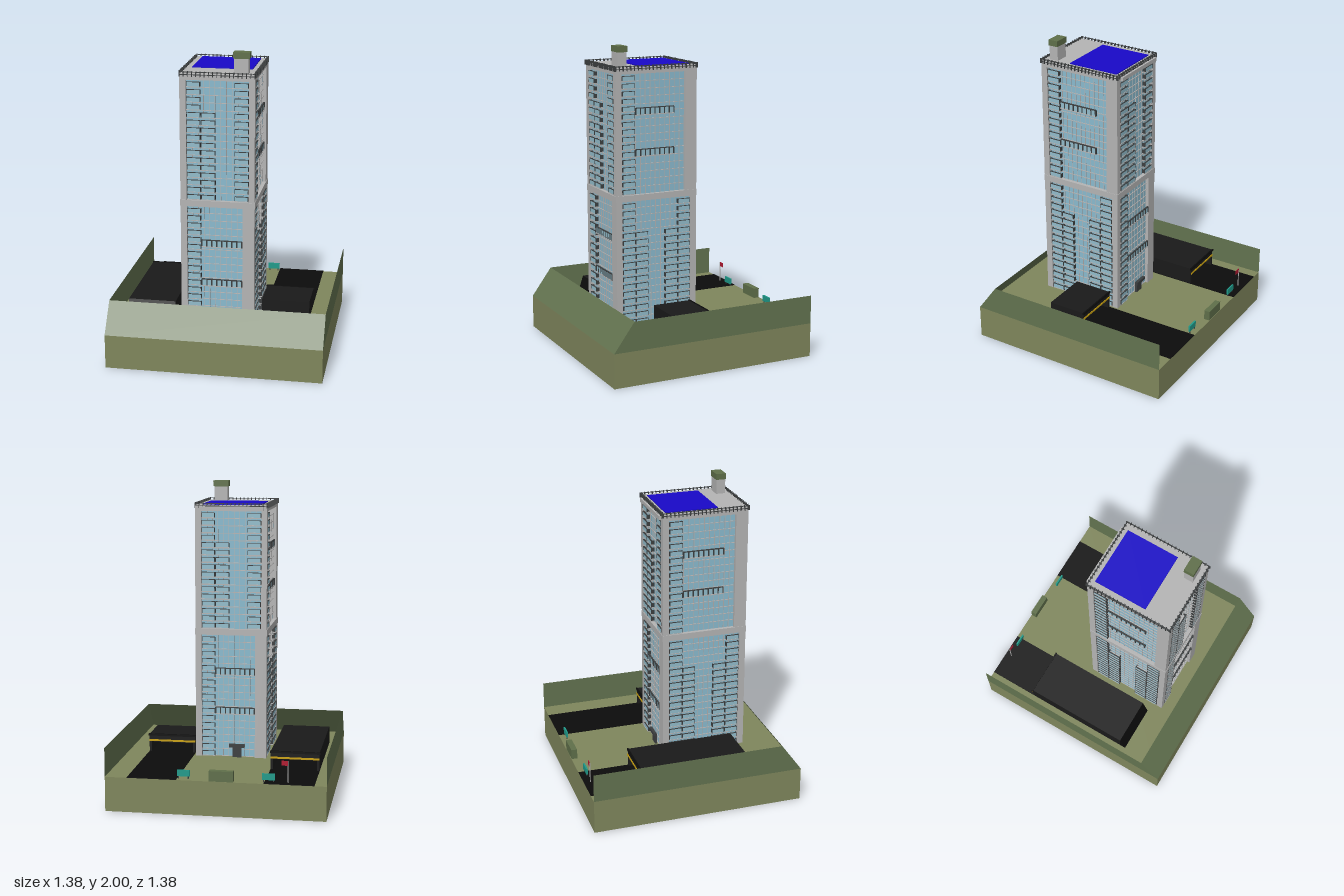
import * as THREE from 'three';
import { mergeGeometries } from 'three/addons/utils/BufferGeometryUtils.js';

const mat = (color, side = THREE.FrontSide) =>
  new THREE.MeshStandardMaterial({ color, side, flatShading: true });
const M = {
  olive: mat(0x7f865c), wall: mat(0x637350, THREE.DoubleSide), green: mat(0x5f6f4a),
  grey: mat(0xb4b4b4), glass: mat(0x8abace), pane: mat(0x92bccb), dark: mat(0x3c3f40),
  road: mat(0x0c0c0c), shed: mat(0x1a1a1a), yellow: mat(0xc8a010), blue: mat(0x1808c8),
  teal: mat(0x1f9a8a), red: mat(0xb01830),
};

// Box geometry from its minimum and maximum corners
function span(x0, x1, y0, y1, z0, z1) {
  return new THREE.BoxGeometry(x1 - x0, y1 - y0, z1 - z0)
    .translate((x0 + x1) / 2, (y0 + y1) / 2, (z0 + z1) / 2);
}

function add(parent, name, geometries, material) {
  const list = [].concat(geometries);
  const mesh = new THREE.Mesh(list.length > 1 ? mergeGeometries(list) : list[0], material);
  mesh.name = name;
  parent.add(mesh);
  return mesh;
}

const GROUND = 0.22, LEDGE = 1.03, UPPER = 1.07, TOP = 1.83, ROOF = 1.86;
const CX = -0.0075, CZ = 0.18, HX = 0.2325, HZ = 0.28, DEPTH = 0.022;
const PITCH = 0.0475;

// One face of the tower: u runs to the right seen from outside, z = 0 is the frame face
function facade(name, half, spec) {
  const g = new THREE.Group();
  g.name = name;
  const frame = [], mullions = [], slabs = [], panes = [], rails = [];
  frame.push(span(-half, half, LEDGE, UPPER, -DEPTH, 0.003));
  frame.push(span(-half, half, TOP, ROOF, -DEPTH, 0));
  for (const s of spec) {
    // Corner piers either side of the glazing
    frame.push(span(-half, s.u0, s.y0, s.y1, -DEPTH, 0));
    frame.push(span(s.u1, half, s.y0, s.y1, -DEPTH, 0));
    // Glazing grid
    const n = Math.round((s.u1 - s.u0) / 0.034);
    for (let i = 1; i < n; i++) {
      const u = s.u0 + (s.u1 - s.u0) * i / n;
      mullions.push(span(u - 0.0015, u + 0.0015, s.y0, s.y1, -DEPTH, -0.018));
    }
    for (let y = s.y1 - PITCH; y > s.y0; y -= PITCH)
      mullions.push(span(s.u0, s.u1, y - 0.002, y + 0.002, -DEPTH, -0.017));
    // Stacked balconies
    for (const [a, b, top] of s.balconies)
      for (let y = s.y0 + 0.003; y + 0.035 < top; y += PITCH) {
        slabs.push(span(a, b, y, y + 0.005, -DEPTH, 0.002));
        panes.push(span(a + 0.003, b - 0.003, y + 0.005, y + 0.031, -0.004, 0));
        for (const u of [a, b - 0.003])
          rails.push(span(u, u + 0.003, y + 0.005, y + 0.031, -DEPTH, 0.001));
        rails.push(span(a, b, y + 0.031, y + 0.034, -0.006, 0.002));
      }
    // Long terraces with upright posts
    for (const [a, b, y] of s.terraces) {
      slabs.push(span(a, b, y - 0.025, y - 0.019, -DEPTH, 0.002));
      rails.push(span(a, b, y + 0.019, y + 0.024, -0.008, 0.002));
      panes.push(span(a, b, y - 0.019, y + 0.019, -0.006, -0.002));
      const k = Math.round((b - a) / 0.032);
      for (let i = 0; i <= k; i++) {
        const u = a + (b - a) * i / k;
        rails.push(span(u - 0.004, u + 0.004, y - 0.02, y + 0.02, -0.01, 0.001));
      }
    }
  }
  add(g, 'frame', frame, M.grey);
  add(g, 'mullions', mullions, M.grey);
  add(g, 'balconySlabs', slabs, M.grey);
  add(g, 'balconyPanes', panes, M.pane);
  add(g, 'balconyRails', rails, M.dark);
  return g;
}

const NARROW = [
  { y0: GROUND, y1: LEDGE, u0: -0.193, u1: 0.158, balconies: [[-0.19, -0.105, LEDGE]],
    terraces: [[-0.1, 0.155, 0.53], [-0.1, 0.155, 0.79]] },
  { y0: UPPER, y1: TOP, u0: -0.193, u1: 0.197,
    balconies: [[-0.19, -0.105, TOP], [-0.1, -0.013, 1.67], [0.108, 0.194, TOP]], terraces: [] },
];
const WIDE = [
  { y0: GROUND, y1: LEDGE, u0: -0.24, u1: 0.24, terraces: [],
    balconies: [[-0.235, -0.15, LEDGE], [-0.146, -0.062, 0.87], [0.062, 0.146, 0.87], [0.15, 0.236, LEDGE]] },
  { y0: UPPER, y1: TOP, u0: -0.24, u1: 0.2, balconies: [[-0.235, -0.15, TOP]],
    terraces: [[-0.145, 0.12, 1.335], [-0.145, 0.12, 1.595]] },
];

function tower() {
  const g = new THREE.Group();
  g.name = 'tower';
  g.position.set(CX, 0, CZ);
  add(g, 'glassCore', span(-HX + DEPTH, HX - DEPTH, GROUND, TOP, -HZ + DEPTH, HZ - DEPTH), M.glass);
  for (let i = 0; i < 4; i++) {
    const wide = i % 2 === 1;
    const f = facade(['frontFacade', 'leftFacade', 'backFacade', 'rightFacade'][i],
      wide ? HZ : HX, wide ? WIDE : NARROW);
    const a = i * Math.PI / 2, d = wide ? HX : HZ;
    f.rotation.y = a;
    f.position.set(Math.sin(a) * d, 0, Math.cos(a) * d);
    g.add(f);
  }
  // Roof slab, landing pad and perimeter railing
  add(g, 'roofSlab', span(-HX, HX, 1.83, 1.868, -HZ, HZ), M.grey);
  add(g, 'backCornice', span(-0.21, 0.195, 1.835, 1.86, -HZ - 0.018, -HZ), M.grey);
  add(g, 'landingPad', span(-0.19, 0.19, 1.865, 1.874, -0.25, 0.092), M.blue);
  const rail = [];
  for (const y of [1.86, 1.876])
    for (const s of [-1, 1]) {
      rail.push(span(-HX, HX, y, y + 0.004, s * HZ - 0.003, s * HZ + 0.003));
      rail.push(span(s * HX - 0.003, s * HX + 0.003, y, y + 0.004, -HZ, HZ));
    }
  for (const s of [-1, 1]) {
    for (let i = 0; i <= 18; i++) {
      const x = -HX + 2 * HX * i / 18;
      rail.push(span(x - 0.002, x + 0.002, 1.85, 1.882, s * HZ - 0.008, s * HZ + 0.008));
    }
    for (let i = 1; i < 22; i++) {
      const z = -HZ + 2 * HZ * i / 22;
      rail.push(span(s * HX - 0.008, s * HX + 0.008, 1.85, 1.882, z - 0.002, z + 0.002));
    }
  }
  add(g, 'roofRailing', rail, M.dark);
  // Entrance canopy at the back
  add(g, 'entranceCanopy', span(-0.09, 0.01, 0.29, 0.31, -HZ - 0.02, -HZ), M.dark);
  add(g, 'entranceDoor', span(-0.07, -0.01, GROUND, 0.29, -HZ - 0.003, -HZ + 0.01), M.dark);
  return g;
}

// Covered road: open at the back, closed at the front
function shelter(name, x0, x1, z0, z1, slope) {
  const g = new THREE.Group();
  g.name = name;
  const top = 0.34;
  add(g, 'road', span(x0, x1, GROUND, GROUND + 0.004, -0.69, z1), M.road);
  add(g, 'shelterBody', [
    span(x0, x1, 0.29, top, z0, z1),
    span(x0, x0 + 0.015, GROUND, 0.29, z0, z1),
    span(x1 - 0.015, x1, GROUND, 0.29, z0, z1),
    span(x0, x1, GROUND, 0.29, z1 - 0.015, z1),
  ], M.shed);
  add(g, 'fasciaStripe', span(x0, x1, 0.293, 0.305, z0 - 0.004, z0), M.yellow);
  add(g, 'fasciaEdge', span(x0 - 0.005, x1 + 0.005, top - 0.01, top + 0.003, z0 - 0.005, z0 + 0.005), M.road);
  if (slope) {
    const s = new THREE.Shape([[0, GROUND], [slope, GROUND], [0, top]].map(p => new THREE.Vector2(...p)));
    const geo = new THREE.ExtrudeGeometry(s, { depth: x1 - x0, bevelEnabled: false });
    const m = add(g, 'slopedEnd', geo.rotateY(-Math.PI / 2), M.road);
    m.position.set(x1, 0, z1);
  }
  return g;
}

export function createModel() {
  const root = new THREE.Group();
  root.name = 'towerOnPlot';
  const B = 0.69, H = 0.405, Z = 0.555;
  // Ground block with side walls and a leaning front wall, open at the back
  add(root, 'groundBlock', span(-B, B, 0, GROUND, -B, B), M.olive);
  const side = new THREE.Shape([[-B, GROUND], [B, GROUND], [Z, H], [-B, H]].map(p => new THREE.Vector2(...p)));
  for (const s of [-1, 1]) {
    const w = add(root, s > 0 ? 'leftWall' : 'rightWall',
      new THREE.ShapeGeometry(side).rotateY(-Math.PI / 2), M.wall);
    w.position.x = s * B;
  }
  const front = add(root, 'frontWall', new THREE.PlaneGeometry(2 * B, Math.hypot(B - Z, H - GROUND)), M.wall);
  front.rotation.x = -Math.atan2(B - Z, H - GROUND);
  front.position.set(0, (GROUND + H) / 2, (B + Z) / 2);

  root.add(tower());
  root.add(shelter('rightShelter', -0.615, -0.305, -0.36, 0.345, 0.04));
  root.add(shelter('leftShelter', 0.24, 0.55, -0.045, 0.21, 0));

  // Rooftop hut
  const hut = new THREE.Group();
  hut.name = 'rooftopHut';
  add(hut, 'hutBody', span(0.09, 0.18, 1.865, 1.962, 0.365, 0.425), M.grey);
  add(hut, 'hutRoof', span(0.085, 0.187, 1.962, 2, 0.362, 0.427), M.green);
  root.add(hut);

  // Plot furniture by the back edge: stone, boards and flag
  add(root, 'entranceStone', span(-0.115, 0.035, GROUND, 0.285, -0.688, -0.65), M.green);
  for (const x of [0.2, -0.33]) {
    add(root, 'boardPosts', [-0.03, 0.03].map(d =>
      span(x + d - 0.003, x + d + 0.003, GROUND, 0.24, -0.653, -0.647)), M.dark);
    add(root, 'roadBoard', span(x - 0.04, x + 0.04, 0.235, 0.275, -0.655, -0.645), M.teal);
  }
  const pole = add(root, 'flagPole', new THREE.CylinderGeometry(0.003, 0.003, 0.14, 8), M.grey);
  pole.position.set(-0.45, GROUND + 0.07, -0.65);
  add(root, 'flag', span(-0.45, -0.41, 0.33, 0.36, -0.652, -0.648), M.red);
  return root;
}
